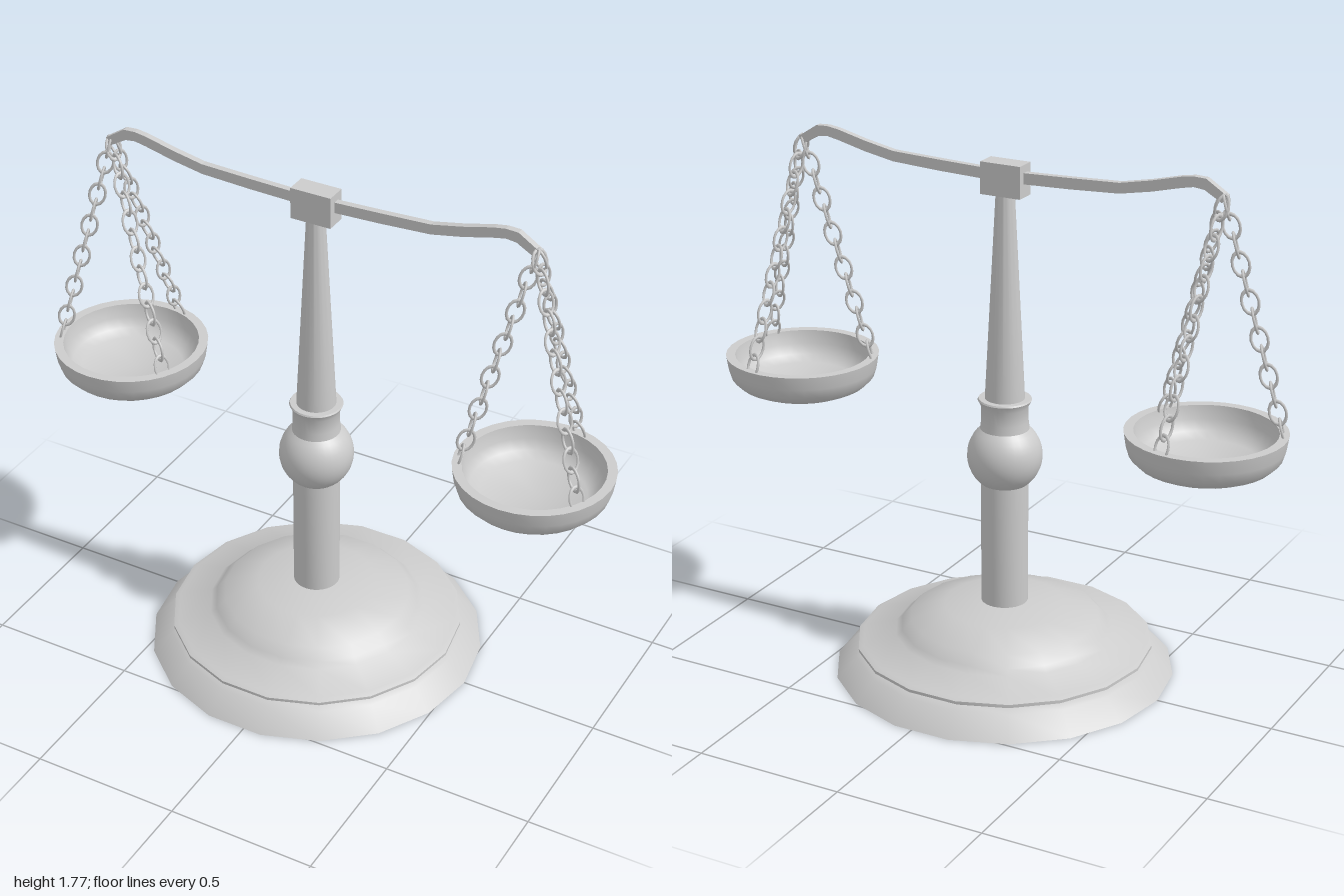
import * as THREE from 'three';
import { toCreasedNormals } from 'three/addons/utils/BufferGeometryUtils.js';

const material = new THREE.MeshStandardMaterial({ color: 0xcccccc });
const AXIS_X = -0.035; // column axis

function mesh(name, geometry, parent) {
  const m = new THREE.Mesh(geometry, material);
  m.name = name;
  parent.add(m);
  return m;
}

// Turned part from a profile of [radius, height], listed bottom to top on the outside
function turned(profile, sides, crease = 0.6) {
  const points = profile.map(([r, y]) => new THREE.Vector2(r, y));
  return toCreasedNormals(new THREE.LatheGeometry(points, sides, Math.PI / 2), crease);
}

// Chain of oval links, alternately in the radial plane and across it
function createChain(from, to, count) {
  const chain = new THREE.Group();
  chain.name = 'chain';
  const link = new THREE.TorusGeometry(0.026, 0.0045, 6, 14);
  link.scale(1, 1.5, 1);
  const along = to.clone().sub(from).normalize();
  const across = new THREE.Vector3(0, 1, 0).cross(along).normalize();
  const inPlane = along.clone().cross(across);
  const basis = new THREE.Matrix4().makeBasis(inPlane, along, across.clone());
  if (basis.determinant() < 0) basis.makeBasis(inPlane.negate(), along, across);
  const radial = new THREE.Quaternion().setFromRotationMatrix(basis);
  const quarter = new THREE.Quaternion().setFromAxisAngle(new THREE.Vector3(0, 1, 0), Math.PI / 2);
  for (let i = 0; i < count; i++) {
    const m = mesh('chainLink', link, chain);
    m.position.lerpVectors(from, to, (i + 0.5) / count);
    m.quaternion.copy(radial);
    if (i % 2 === 0) m.quaternion.multiply(quarter);
  }
  return chain;
}

// Dish with its three chains
function createPan(name, x, z, hook) {
  const group = new THREE.Group();
  group.name = name;
  const dish = mesh('dish', turned([
    [0, 0.842], [0.14, 0.842], [0.18, 0.852], [0.215, 0.868], [0.24, 0.893], [0.25, 0.925],
    [0.257, 0.97], [0.226, 0.97], [0.218, 0.925], [0.2, 0.892], [0.17, 0.872], [0, 0.872],
  ], 32), group);
  dish.position.set(x, 0, z);
  for (const [dx, dz] of [[0.05, -0.235], [-0.227, 0.08], [0.2, 0.115]]) {
    group.add(createChain(hook, new THREE.Vector3(x + dx, 0.955, z + dz), 13));
  }
  return group;
}

// Wavy bar, mirrored about the column axis
function createBeamGeometry() {
  const top = [[0.07, 1.709], [0.225, 1.714], [0.396, 1.721], [0.5, 1.742], [0.6, 1.767],
    [0.64, 1.773], [0.68, 1.771], [0.748, 1.727]];
  const bottom = [[0.732, 1.703], [0.675, 1.736], [0.64, 1.74], [0.6, 1.732], [0.5, 1.707],
    [0.396, 1.687], [0.225, 1.678], [0.07, 1.673]];
  const half = [...top, ...bottom];
  const outline = [...half, ...half.map(([x, y]) => [-x, y]).reverse()];
  const shape = new THREE.Shape(outline.map(([x, y]) => new THREE.Vector2(x, y)));
  const geometry = new THREE.ExtrudeGeometry(shape, { depth: 0.022, bevelEnabled: false });
  geometry.translate(0, 0, -0.011);
  return geometry;
}

export function createModel() {
  const model = new THREE.Group();
  model.name = 'balanceScale';

  // Stepped base with a domed top
  const base = mesh('base', turned([
    [0, 0], [0.565, 0], [0.5, 0.07], [0.475, 0.08], [0.475, 0.086], [0.492, 0.09], [0.492, 0.1],
    [0.475, 0.107], [0.365, 0.135], [0.345, 0.152], [0.315, 0.185], [0.2, 0.224], [0.07, 0.241], [0, 0.241],
  ], 18), model);

  // Column: shaft, ball, collar and tapered neck
  const profile = [[0.0775, 0.235], [0.0775, 0.655]];
  for (let i = 0; i <= 12; i++) {
    const a = THREE.MathUtils.lerp(-0.89, 0.86, i / 12);
    profile.push([0.123 * Math.cos(a), 0.755 + 0.123 * Math.sin(a)]);
  }
  profile.push([0.077, 0.875], [0.077, 0.925], [0.088, 0.947], [0.085, 0.952], [0.065, 0.952], [0.03, 1.64]);
  const column = mesh('column', turned(profile, 32), model);

  // Beam and its central block
  const beam = mesh('beam', createBeamGeometry(), model);
  beam.rotation.y = 0.014;
  const block = mesh('pivotBlock', new THREE.BoxGeometry(0.14, 0.105, 0.07), model);
  block.position.y = 1.682;
  for (const part of [base, column, beam, block]) part.position.x = AXIS_X;

  // Hanging pans
  model.add(createPan('leftPan', 0.743, 0.01, new THREE.Vector3(0.708, 1.72, -0.006)));
  model.add(createPan('rightPan', -0.742, 0, new THREE.Vector3(-0.772, 1.72, 0.006)));
  return model;
}
